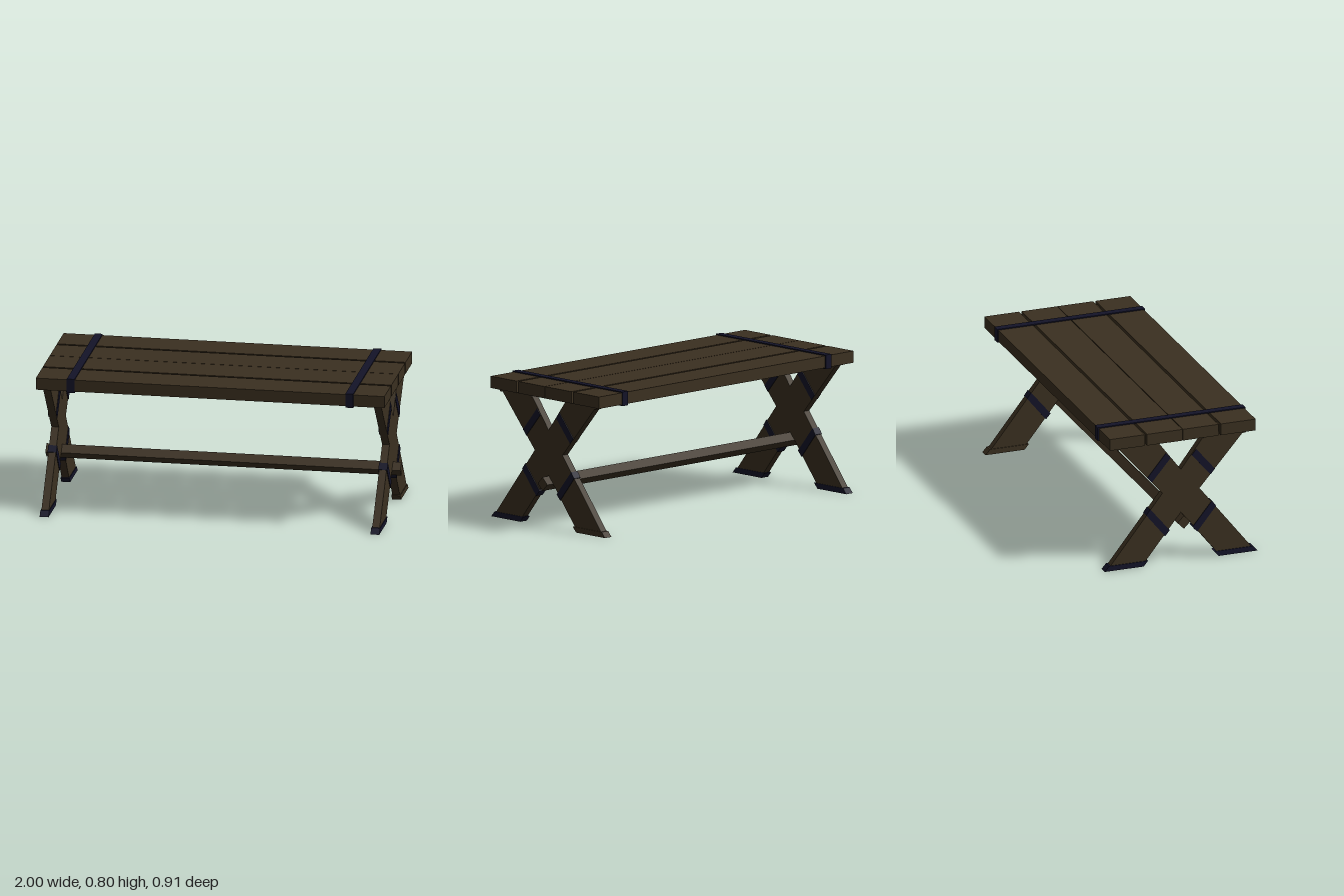
import * as THREE from 'three';

const wood = new THREE.MeshStandardMaterial({ color: 0x3b3020, flatShading: true });
const iron = new THREE.MeshStandardMaterial({ color: 0x131328, flatShading: true });

// Side profile given as [z, y] points, extruded along x and centred on x = 0
function sideProfile(points, width, hole) {
  const toVec = ([z, y]) => new THREE.Vector2(-z, y);
  const shape = new THREE.Shape(points.map(toVec));
  if (hole) shape.holes.push(new THREE.Path(hole.map(toVec)));
  const geo = new THREE.ExtrudeGeometry(shape, { depth: width, bevelEnabled: false });
  geo.translate(0, 0, -width / 2);
  return geo.rotateY(Math.PI / 2);
}

const rect = (z, y0, y1) => [[-z, y0], [z, y0], [z, y1], [-z, y1]];

function add(parent, name, geo, mat, x = 0, y = 0, z = 0) {
  const mesh = new THREE.Mesh(geo, mat);
  mesh.name = name;
  mesh.position.set(x, y, z);
  parent.add(mesh);
  return mesh;
}

// One slanted leg: foot on the -side, top on the +side
function createLeg(side, footMaterial) {
  const leg = new THREE.Group();
  leg.name = side > 0 ? 'legRising' : 'legFalling';
  const mirror = (pts) => pts.map(([z, y]) => [z * side, y]);
  const part = (name, pts, width, mat) => add(leg, name, sideProfile(mirror(pts), width), mat);

  part('legBeam', [
    [0.18, 0.785], [0.13, 0.72], [0, 0.547], [-0.11, 0.42], [-0.425, 0.02],
    [-0.217, 0.02], [0, 0.293], [0.11, 0.42], [0.37, 0.72], [0.425, 0.785],
  ], 0.042, wood);
  part('topCap', [[0.13, 0.715], [0.38, 0.715], [0.4, 0.742], [0.15, 0.742]], 0.05, wood);
  part('footCap', [[-0.453, 0], [-0.222, 0], [-0.197, 0.03], [-0.427, 0.03]], 0.05, footMaterial);
  part('upperBand', [[0.2, 0.525], [0.174, 0.494], [0.063, 0.625], [0.09, 0.657]], 0.05, iron);
  part('lowerBand', [[-0.207, 0.302], [-0.183, 0.335], [-0.068, 0.195], [-0.095, 0.163]], 0.05, iron);
  return leg;
}

export function createModel() {
  const model = new THREE.Group();
  model.name = 'trestleTable';

  // Table top planks
  const top = new THREE.Group();
  top.name = 'tableTop';
  model.add(top);
  for (const s of [-1, 1]) {
    for (const [inner, outer] of [[0.002, 0.211], [0.227, 0.432]]) {
      const geo = new THREE.BoxGeometry(1.964, 0.067, outer - inner);
      add(top, 'plank', geo, wood, 0, 0.7635, s * (inner + outer) / 2);
    }
    // Metal strap wrapped around the planks
    const strap = sideProfile(rect(0.438, 0.723, 0.803), 0.044, rect(0.43, 0.731, 0.796));
    add(top, 'strap', strap, iron, s * 0.785);
  }

  // Crossed legs at both ends
  for (const s of [-1, 1]) {
    const trestle = new THREE.Group();
    trestle.name = s > 0 ? 'leftTrestle' : 'rightTrestle';
    trestle.position.x = s * 0.932;
    trestle.add(createLeg(1, s > 0 ? wood : iron), createLeg(-1, iron));
    model.add(trestle);
  }

  // Square stretcher set on its edge
  const diamond = [[0, 0.21], [0.038, 0.249], [0, 0.288], [-0.038, 0.249]];
  add(model, 'stretcher', sideProfile(diamond, 2), wood);
  return model;
}
